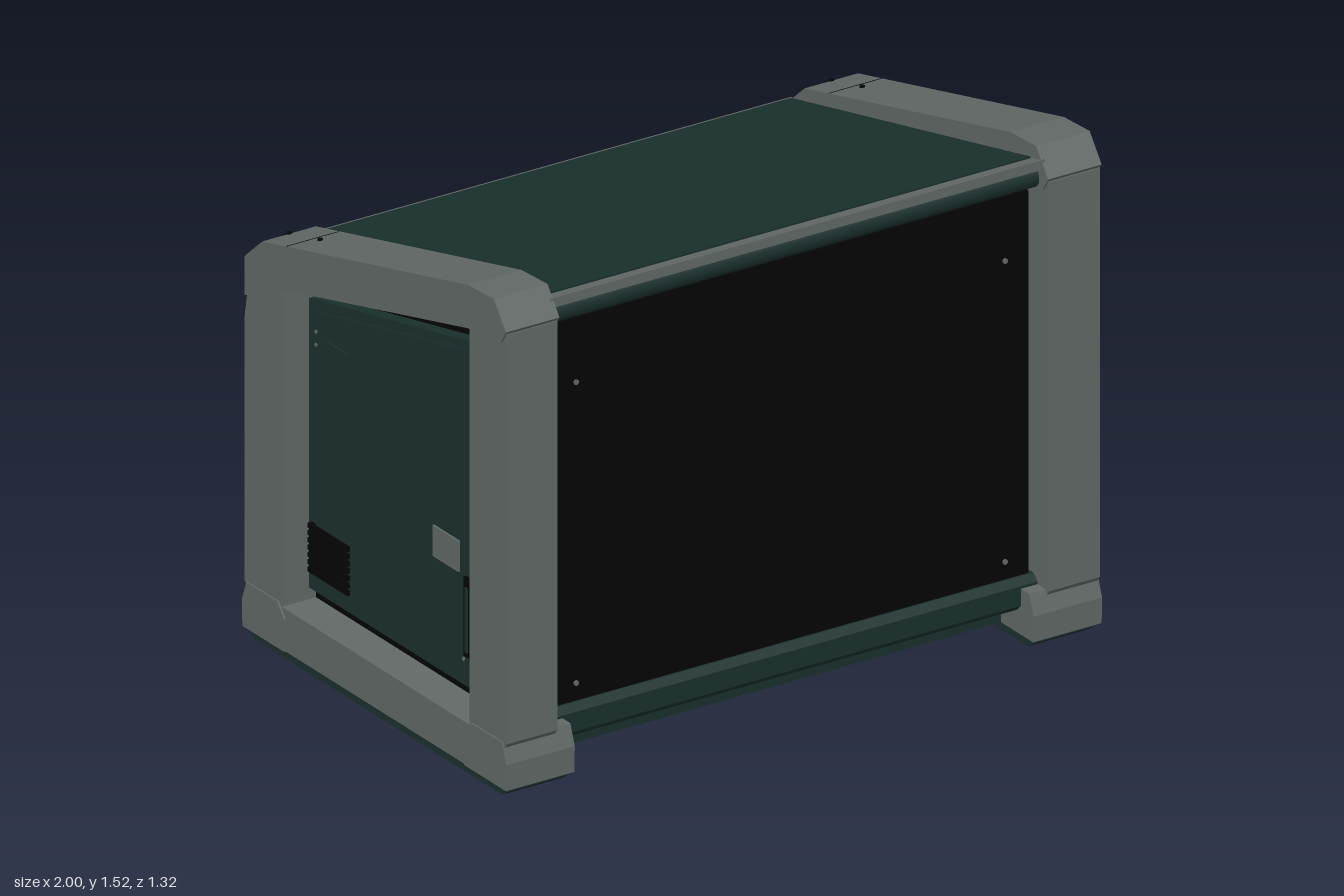
import * as THREE from 'three';

const mat = (name, color) => {
  const m = new THREE.MeshStandardMaterial({ color });
  m.name = name;
  return m;
};

export function createModel() {
  const root = new THREE.Group();
  root.name = 'equipmentEnclosure';
  const grey = mat('frame grey', 0x626966);
  const teal = mat('panel teal', 0x1a302e);
  const black = mat('matte black', 0x040404);

  const add = (name, geo, material) => {
    const mesh = new THREE.Mesh(geo, material);
    mesh.name = name;
    root.add(mesh);
  };
  // Box given by its limits on each axis
  const box = (name, m, x0, x1, y0, y1, z0, z1) => {
    const g = new THREE.BoxGeometry(x1 - x0, y1 - y0, z1 - z0);
    g.translate((x0 + x1) / 2, (y0 + y1) / 2, (z0 + z1) / 2);
    add(name, g, m);
  };
  // Side profile of [z, y] points, extruded across x
  const profile = (name, m, pts, x0, x1) => {
    const shape = new THREE.Shape(pts.map(([z, y]) => new THREE.Vector2(z, y)));
    const g = new THREE.ExtrudeGeometry(shape, { depth: x1 - x0, bevelEnabled: false });
    g.rotateY(-Math.PI / 2);
    g.translate(x1, 0, 0);
    add(name, g, m);
  };
  // The same parts on either side
  const sideBox = (s, name, m, x0, x1, ...rest) =>
    s > 0 ? box(name, m, x0, x1, ...rest) : box(name, m, -x1, -x0, ...rest);
  const sideProfile = (s, name, m, pts, x0, x1) =>
    s > 0 ? profile(name, m, pts, x0, x1) : profile(name, m, pts, -x1, -x0);
  // Small bolt head, its axis along x, y or z
  const bolt = (axis, x, y, z, m = grey, r = 0.008) => {
    const g = new THREE.CylinderGeometry(r, r, 0.012, 10);
    if (axis === 'x') g.rotateZ(Math.PI / 2);
    if (axis === 'z') g.rotateX(Math.PI / 2);
    g.translate(x, y, z);
    add('bolt', g, m);
  };
  const roofY = (z) => 1.34 + 0.235 * z;
  const beamY = (z) => 1.391 + 0.252 * z;

  // Body and floor
  profile('innerBody', black, [[0.55, 0.16], [0.55, 1.44], [-0.5, 1.195], [-0.5, 0.16]], -0.88, 0.88);
  profile('floor', teal, [[0.58, 0.1], [0.6, 0.12], [0.6, 0.18], [0.58, 0.2],
    [-0.55, 0.2], [-0.57, 0.18], [-0.57, 0.12], [-0.55, 0.1]], -0.83, 0.83);
  box('bottomPlate', teal, -0.85, 0.85, 0.03, 0.07, -0.5, 0.5);

  // Roof
  const slab = (a, b, lo, hi) => [[a, roofY(a) + lo], [a, roofY(a) + hi], [b, roofY(b) + hi], [b, roofY(b) + lo]];
  profile('roofFrame', grey, slab(0.63, -0.645, -0.03, 0), -0.83, 0.83);
  profile('roofPanel', teal, slab(0.58, -0.62, -0.01, 0.005), -0.815, 0.815);

  // Front, its panel standing proud of the body
  const bar = new THREE.CylinderGeometry(0.036, 0.036, 1.66, 20);
  bar.rotateZ(Math.PI / 2);
  bar.translate(0, 1.425, 0.58);
  add('frontRoller', bar, teal);
  box('frontPanel', black, -0.8, 0.8, 0.21, 1.385, 0.55, 0.592);
  for (let i = 0; i < 7; i++) {
    const x = -0.54 + i * 0.154;
    box('frontSlot', black, x - 0.035, x + 0.035, 0.35, 0.45, 0.592, 0.596);
  }
  box('frontCover', black, 0.38, 0.64, 0.28, 0.38, 0.592, 0.598);
  for (const x of [-0.72, 0.72]) for (const y of [0.265, 1.19]) bolt('z', x, y, 0.591);

  // Back
  box('backPanel', black, -0.79, 0.79, 0.21, 1.03, -0.54, -0.5);
  box('backSkirt', black, -0.56, 0.54, 0.125, 0.21, -0.576, -0.5);
  box('backLintel', grey, -0.83, 0.83, 1.035, 1.074, -0.615, -0.49);
  box('backStrip', black, -0.74, 0.81, 1.074, 1.17, -0.648, -0.5);
  box('backStripPanel', teal, -0.56, 0.57, 1.08, 1.165, -0.655, -0.648);
  box('backStripEnd', teal, 0.68, 0.805, 1.08, 1.165, -0.655, -0.648);

  for (const s of [1, -1]) {
    // Frame: posts and sloping beam with its seam
    sideProfile(s, 'frontPost', grey, [[0.47, 0.15], [0.64, 0.15], [0.658, 0.172], [0.658, 1.43], [0.47, 1.43]], 0.825, 0.995);
    sideProfile(s, 'backPost', grey,
      [[-0.47, 0.15], [-0.47, 1.16], [-0.62, 1.09], [-0.643, 1.06], [-0.656, 0.98], [-0.656, 0.172], [-0.64, 0.15]],
      0.825, 0.995);
    sideProfile(s, 'roofBeam', grey,
      [[0.66, 1.44], [0.60, 1.52], [0.47, 1.513], [-0.56, 1.25], [-0.65, 1.17],
        [-0.65, 1.05], [-0.47, 1.137], [0.47, 1.38], [0.635, 1.4]], 0.82, 1);
    profile('beamSeam', black, [[-0.438, beamY(-0.438) - 0.004], [-0.438, beamY(-0.438) + 0.001],
      [-0.443, beamY(-0.443) + 0.001], [-0.443, beamY(-0.443) - 0.004]], s * 0.91 - 0.088, s * 0.91 + 0.088);

    // Base: rail, feet, runner
    sideBox(s, 'baseRail', grey, 0.83, 0.995, 0.03, 0.16, -0.5, 0.5);
    for (const e of [1, -1]) {
      const foot = [[0.45, 0.03], [0.66, 0.03], [0.662, 0.11], [0.64, 0.172], [0.485, 0.172], [0.45, 0.13]];
      sideProfile(s, 'foot', grey, foot.map(([z, y]) => [z * e, y]), 0.77, 1);
    }
    sideProfile(s, 'runner', teal,
      [[-0.62, 0], [0.62, 0], [0.64, 0.015], [0.64, 0.03], [-0.64, 0.03], [-0.64, 0.015]], 0.78, 0.985);

    // Side panel standing proud of the body, with its door
    sideProfile(s, 'sidePanel', teal, [[0.445, 0.21], [0.445, 1.295], [-0.445, 1.1], [-0.445, 0.21]], 0.88, 0.92);
    sideProfile(s, 'sideDoor', teal, [[0.405, 0.27], [0.405, 1.26], [-0.405, 1.075], [-0.405, 0.27]], 0.92, 0.926);
    sideBox(s, 'sideLabel', grey, 0.926, 0.932, 0.555, 0.65, 0.19, 0.32);
    sideBox(s, 'sideHatch', teal, 0.926, 0.932, 0.955, 1.008, -0.34, -0.24);
    sideBox(s, 'handle', black, 0.926, 0.934, 0.31, 0.555, 0.35, 0.386);
    sideBox(s, 'handleInset', teal, 0.934, 0.937, 0.325, 0.525, 0.358, 0.371);

    // Vent with louvres
    sideBox(s, 'ventPlate', black, 0.92, 0.93, 0.265, 0.415, -0.43, -0.3);
    for (let i = 0; i < 7; i++) {
      const y = 0.27 + i * 0.0225;
      sideBox(s, 'ventSlat', black, 0.92, 0.936, y, y + 0.014, -0.43, -0.23);
    }
    for (const [z, y] of [[0.4, 1.2], [0.4, 0.335], [-0.4, 1.015], [-0.4, 0.975], [0.34, 0.295]])
      bolt('x', s * 0.923, y, z, grey, 0.006);

    // Frame bolts
    for (const z of [-0.405, -0.56, -0.58]) bolt('y', s * 0.91, z < -0.56 ? 1.232 : beamY(z), z, black);
    for (const y of [0.22, 0.26, 0.93, 0.97]) bolt('z', s * 0.91, y, -0.653, black);
    for (const y of [1.11, 1.15]) bolt('z', s * 0.91, y, -0.648, black);
  }
  return root;
}
